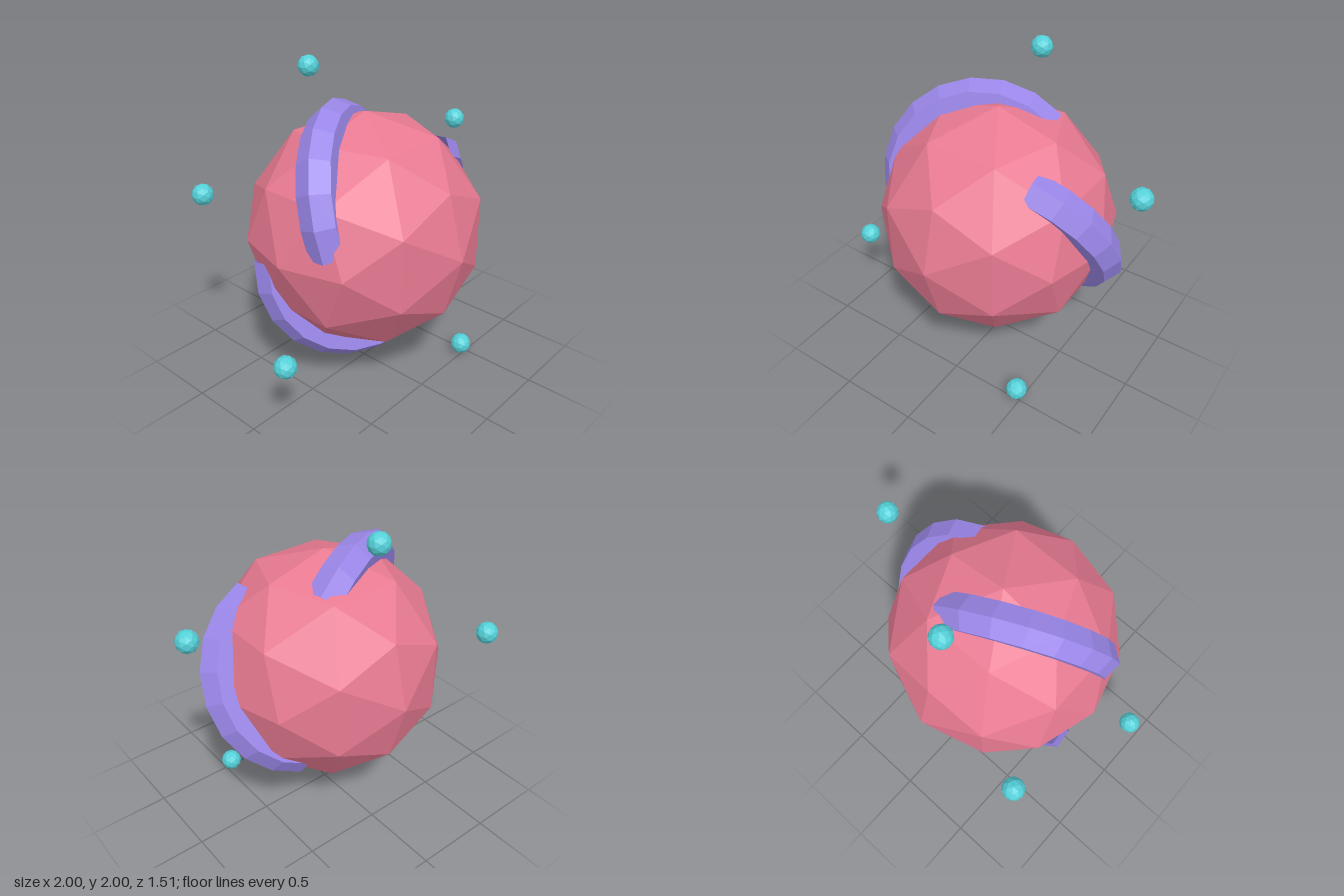
import * as THREE from 'three';

export function createModel() {
  const model = new THREE.Group();
  const flat = (color, side = THREE.FrontSide) =>
    new THREE.MeshStandardMaterial({ color, flatShading: true, side });
  const pink = flat(0xe87a92);
  const purple = flat(0x9a86e8, THREE.DoubleSide);
  const teal = flat(0x55d0d8);

  const add = (name, geometry, material, x, y, z) => {
    const mesh = new THREE.Mesh(geometry, material);
    mesh.name = name;
    mesh.position.set(x, y, z);
    model.add(mesh);
    return mesh;
  };

  // Faceted ball in the middle
  const cz = 0.007;
  add('core', new THREE.IcosahedronGeometry(0.742, 1), pink, 0, 1, cz);

  // Three tilted six-sided arcs bulging out of the ball, a third of a turn apart
  const arc = Math.PI * 0.8;
  const band = new THREE.TorusGeometry(0.52, 0.12, 6, 8, arc)
    .rotateZ(-arc / 2)
    .translate(0.22, 0, 0)
    .rotateX(0.5);
  for (let i = 0; i < 3; i++) {
    add('band' + (i + 1), band, purple, 0, 1, cz).rotation.z = (i * Math.PI * 2) / 3;
  }

  // Small satellites floating around it
  const satellite = new THREE.IcosahedronGeometry(0.068, 1);
  [
    [0, 1.932, -0.455],
    [0.93, 1.47, 0.007],
    [-0.7, 1.235, -0.69],
    [-0.93, 0.54, 0.24],
    [0.465, 0.068, 0.48],
  ].forEach((p, i) => add('satellite' + (i + 1), satellite, teal, ...p));

  return model;
}
